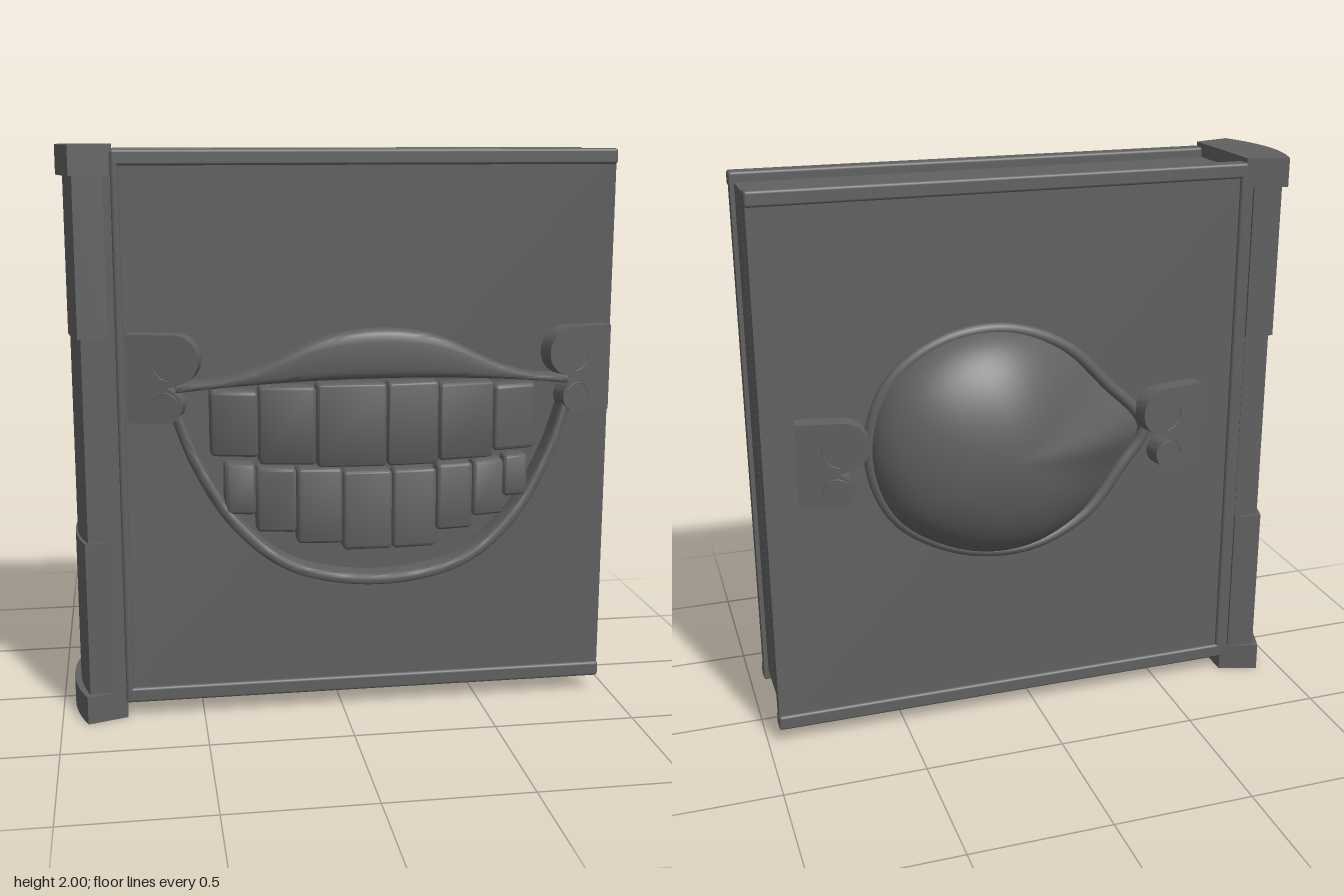
import * as THREE from 'three';
import { RoundedBoxGeometry } from 'three/addons/geometries/RoundedBoxGeometry.js';
import { toCreasedNormals } from 'three/addons/utils/BufferGeometryUtils.js';

const mat = new THREE.MeshStandardMaterial({ color: 0x606060 });
const V2 = (x, y) => new THREE.Vector2(x, y);
const V3 = (x, y, z) => new THREE.Vector3(x, y, z);

// geometry from flat position and index lists
const surface = (pos, idx) => {
  const g = new THREE.BufferGeometry();
  g.setAttribute('position', new THREE.Float32BufferAttribute(pos, 3));
  g.setIndex(idx);
  g.computeVertexNormals();
  return g;
};

export function createModel() {
  const model = new THREE.Group();

  const add = (name, geometry, parent = model) => {
    const mesh = new THREE.Mesh(geometry, mat);
    mesh.name = name;
    parent.add(mesh);
  };
  // box given by its limits, optionally rounded
  const box = (name, x0, x1, y0, y1, z0, z1, r = 0) => {
    const s = [x1 - x0, y1 - y0, z1 - z0];
    const g = r ? new RoundedBoxGeometry(...s, 3, r) : new THREE.BoxGeometry(...s);
    g.translate((x0 + x1) / 2, (y0 + y1) / 2, (z0 + z1) / 2);
    add(name, g);
  };

  // Page blocks with a hairline gap between them
  box('pagesBack', -0.8, 0.942, 0.1, 1.95, -0.145, 0.036);
  box('pagesFront', -0.8, 0.942, 0.1, 1.95, 0.04, 0.185);
  box('pagesCore', -0.8, 0.938, 0.104, 1.946, 0.02, 0.06);

  // Covers with raised rolls along the top, bottom and hinge
  for (const [side, z0, z1] of [['Front', 0.18, 0.228], ['Back', -0.183, -0.135]]) {
    const out = side === 'Front' ? 0.012 : 0, back = side === 'Front' ? 0 : 0.012;
    const a = z0 - back, b = z1 + out;
    box('cover' + side, -0.8, 0.957, 0.07, 1.97, z0, z1);
    box('topRoll' + side, -0.775, 0.96, 1.932, 1.985, a, b, 0.01);
    box('bottomRoll' + side, -0.775, 0.96, 0.058, 0.112, a, b, 0.01);
    box('hingeRoll' + side, -0.775, -0.748, 0.07, 1.97, a, b, 0.011);
  }

  // Curved spine pieces, extruded upwards
  const spine = (name, inner, innerHalf, edge, bulge, half, y0, y1) => {
    const pts = [V2(inner, -0.02 + innerHalf), V2(inner, -0.02 - innerHalf)];
    for (let i = 0; i <= 20; i++) {
      const t = -1 + i / 10;
      pts.push(V2(bulge + (edge - bulge) * t * t, -0.02 + t * half));
    }
    const g = new THREE.ExtrudeGeometry(new THREE.Shape(pts), { depth: y1 - y0, bevelEnabled: false });
    g.rotateX(-Math.PI / 2).translate(0, y0, 0);
    add(name, toCreasedNormals(g, 0.5));
  };
  spine('spineCapBottom', -0.77, 0.205, -0.91, -0.96, 0.25, 0, 0.1);
  spine('spineCapTop', -0.77, 0.205, -0.91, -0.96, 0.25, 1.9, 2);
  spine('spineLower', -0.8, 0.212, -0.9, -0.937, 0.225, 0.1, 0.65);
  spine('spineUpper', -0.8, 0.212, -0.9, -0.937, 0.225, 1.36, 1.9);
  spine('spineMiddle', -0.8, 0.205, -0.89, -0.93, 0.212, 0.65, 1.36);

  // Mouth parts follow an arc that bows away from the front cover
  const arcZ = (x) => 0.433 - 0.25 * (x - 0.1) ** 2;
  const sample = (pts, n) =>
    new THREE.SplineCurve(pts.map(([x, y]) => V2(x, y))).getPoints(n);
  // Lip: rounded cross-section lofted between an upper and a lower edge
  const lip = (name, upper, lower) => {
    const n = 56, m = 24, pos = [], idx = [];
    const U = sample(upper, n), L = sample(lower, n);
    const soft = (v) => Math.sign(v) * Math.abs(v) ** 0.5;
    for (let i = 0; i <= n; i++) {
      for (let k = 0; k < m; k++) {
        const a = k / m * Math.PI * 2;
        const p = L[i].clone().lerp(U[i], 0.5 + 0.5 * soft(Math.cos(a)));
        pos.push(p.x, p.y, arcZ(p.x) - 0.05 + 0.05 * soft(Math.sin(a)));
        const k1 = (k + 1) % m, q = i * m;
        if (i < n) idx.push(q + k, q + k1, q + m + k, q + k1, q + m + k1, q + m + k);
      }
    }
    for (let k = 1; k < m - 1; k++) idx.push(0, k + 1, k, n * m, n * m + k, n * m + k + 1);
    add(name, toCreasedNormals(surface(pos, idx), 0.8));
  };
  lip('upperLip',
    [[-0.58, 1.215], [-0.45, 1.225], [-0.3, 1.275], [-0.1, 1.37], [0.1, 1.4],
      [0.3, 1.37], [0.5, 1.275], [0.65, 1.225], [0.78, 1.215]],
    [[-0.58, 1.18], [-0.45, 1.2], [-0.3, 1.215], [-0.1, 1.228], [0.1, 1.232],
      [0.3, 1.228], [0.5, 1.215], [0.65, 1.2], [0.78, 1.18]]);
  lip('lowerLip',
    [[-0.565, 1.12], [-0.495, 0.94], [-0.37, 0.745], [-0.18, 0.6], [0.1, 0.555],
      [0.38, 0.6], [0.57, 0.745], [0.695, 0.94], [0.765, 1.12]],
    [[-0.605, 1.12], [-0.53, 0.92], [-0.4, 0.715], [-0.2, 0.565], [0.1, 0.515],
      [0.4, 0.565], [0.6, 0.715], [0.73, 0.92], [0.805, 1.12]]);

  // Two rows of teeth: edges along x, then top and bottom of each tooth
  const teeth = (name, xs, tops, bottoms) => {
    for (let i = 0; i < tops.length; i++) {
      const g = new RoundedBoxGeometry(xs[i + 1] - xs[i] - 0.002, tops[i] - bottoms[i], 0.08, 3, 0.015);
      g.translate((xs[i] + xs[i + 1]) / 2, (tops[i] + bottoms[i]) / 2, -0.04);
      const p = g.attributes.position;
      for (let v = 0; v < p.count; v++) p.setZ(v, p.getZ(v) + arcZ(p.getX(v)));
      add(name + (i + 1), toCreasedNormals(g, 0.7));
    }
  };
  teeth('upperTooth', [-0.47, -0.31, -0.118, 0.12, 0.3, 0.498, 0.655],
    [1.195, 1.21, 1.22, 1.22, 1.21, 1.195], [0.97, 0.945, 0.935, 0.935, 0.945, 0.965]);
  teeth('lowerTooth', [-0.425, -0.32, -0.185, -0.03, 0.14, 0.295, 0.425, 0.54, 0.632],
    [0.945, 0.935, 0.93, 0.92, 0.92, 0.93, 0.935, 0.945], [0.77, 0.71, 0.67, 0.645, 0.645, 0.7, 0.74, 0.8]);

  // Scrolled clasp plates; s = 1 has its lobes towards +x, face is the outer side
  const clasp = (name, s, face, x, y, z, turn) => {
    const pts = [V2(-0.125, -0.15), V2(-0.125, 0.15)];
    const arc = (cx, cy, r, from, to) => {
      for (let i = 0; i <= 16; i++) {
        const a = THREE.MathUtils.degToRad(from + (to - from) * i / 16);
        pts.push(V2(cx + r * Math.cos(a), cy + r * Math.sin(a)));
      }
    };
    arc(0.035, 0.065, 0.085, 90, -80);
    pts.push(V2(0.015, -0.03));
    arc(0.005, -0.092, 0.058, 60, -90);
    pts.forEach((p) => { p.x *= s; });
    const g = new THREE.ExtrudeGeometry(new THREE.Shape(pts), { depth: 0.064, bevelEnabled: false });
    g.translate(0, 0, -0.032);
    const group = new THREE.Group();
    group.name = name;
    add('plate', toCreasedNormals(g, 0.5), group);
    // engraved-looking curls
    for (const [cx, cy, r, a0, len] of [[0.025, 0.055, 0.062, 2.9, 1.7], [0.005, -0.092, 0.045, 0.4, 3.2]]) {
      const curl = new THREE.TorusGeometry(r, 0.002, 6, 20, len);
      curl.rotateZ(s > 0 ? a0 : Math.PI - a0 - len).translate(cx * s, cy, face * 0.032);
      add('curl', curl, group);
    }
    group.position.set(x, y, z);
    group.rotation.y = turn;
    model.add(group);
  };
  clasp('mouthClaspRight', 1, 1, -0.613, 1.23, 0.283, -0.27);
  clasp('mouthClaspLeft', -1, 1, 0.813, 1.23, 0.283, 0.27);
  clasp('eyeClaspRight', 1, -1, -0.483, 1.07, -0.234, 0.19);
  clasp('eyeClaspLeft', -1, -1, 0.725, 1.07, -0.234, -0.19);

  // Eye on the back: teardrop rim and bulging ball
  const outline = new THREE.CatmullRomCurve3([
    [-0.4, 1.07], [-0.25, 1.25], [-0.09, 1.4], [0.12, 1.477], [0.33, 1.455], [0.5, 1.35], [0.585, 1.19],
    [0.59, 1.0], [0.505, 0.82], [0.28, 0.685], [0.03, 0.665], [-0.18, 0.76], [-0.31, 0.92],
  ].map(([x, y]) => V3(x, y, -0.212)), true);
  add('eyeRim', new THREE.TubeGeometry(outline, 96, 0.022, 10, true));

  const segs = 72, rings = 20, cx = 0.17, cy = 1.07, pos = [], idx = [];
  const edge = outline.getSpacedPoints(segs);
  for (let j = 0; j <= rings; j++) {
    const r = Math.sin(j / rings * Math.PI / 2);
    for (let i = 0; i < segs; i++) {
      const dx = edge[i].x - cx, dy = edge[i].y - cy;
      // the side towards the tip falls away more gently
      const w = (0.5 - 0.5 * dx / Math.hypot(dx, dy)) ** 4;
      const h = Math.max(0, 1 - r * r) ** (0.5 + 0.8 * w);
      pos.push(cx + dx * r, cy + dy * r, -0.2 - 0.24 * h);
      const a = j * segs + i, a1 = j * segs + (i + 1) % segs;
      if (j < rings) idx.push(a + segs, a1 + segs, a1);
      if (j > 0 && j < rings) idx.push(a, a + segs, a1);
    }
  }
  const ball = surface(pos, idx);
  // one shared normal at the pole
  for (let i = 0; i < segs; i++) ball.attributes.normal.setXYZ(i, 0, 0, -1);
  add('eyeBall', ball);

  return model;
}
